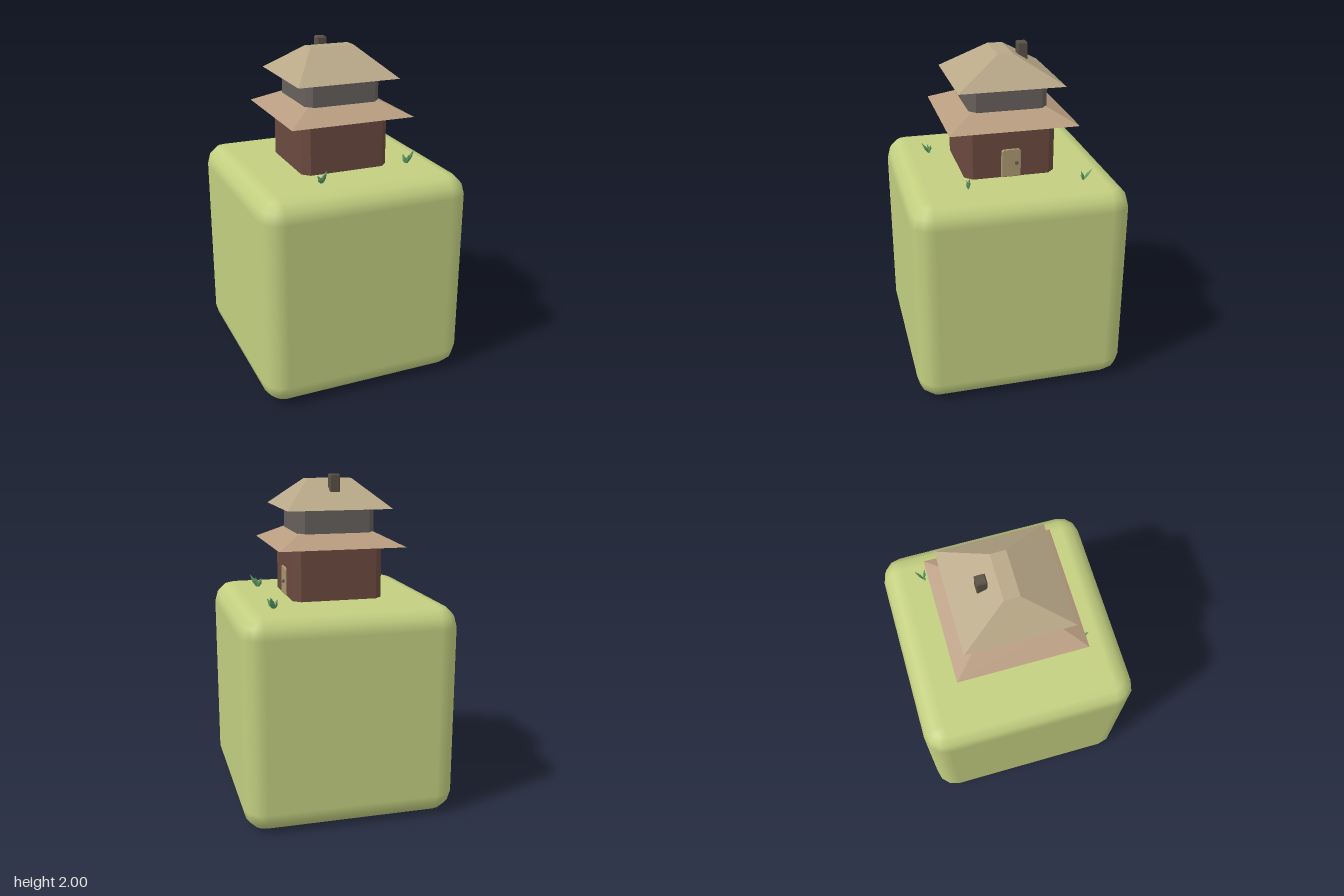
import * as THREE from 'three';
import { ConvexGeometry } from 'three/addons/geometries/ConvexGeometry.js';

const mat = (color, flatShading = true) => new THREE.MeshStandardMaterial({ color, flatShading });

function part(parent, name, geometry, material, x = 0, y = 0, z = 0) {
  const mesh = new THREE.Mesh(geometry, material);
  mesh.name = name;
  mesh.position.set(x, y, z);
  parent.add(mesh);
  return mesh;
}

// Cube with three-step rounded edges; normals follow the rounding
function roundedCube(half, r, steps) {
  const core = half - r, pts = [];
  for (const sx of [-1, 1]) for (const sy of [-1, 1]) for (const sz of [-1, 1])
    for (let i = 0; i <= steps; i++) for (let j = 0; j <= (i ? steps : 0); j++) {
      const a = i / steps * Math.PI / 2, b = j / steps * Math.PI / 2;
      pts.push(new THREE.Vector3(
        sx * (core + r * Math.sin(a) * Math.cos(b)),
        sy * (core + r * Math.cos(a)),
        sz * (core + r * Math.sin(a) * Math.sin(b))));
    }
  const geo = new ConvexGeometry(pts);
  const pos = geo.attributes.position, v = new THREE.Vector3(), c = new THREE.Vector3();
  for (let i = 0; i < pos.count; i++) {
    v.fromBufferAttribute(pos, i);
    c.copy(v).clampScalar(-core, core);
    v.sub(c).normalize();
    geo.attributes.normal.setXYZ(i, v.x, v.y, v.z);
  }
  return geo;
}

// Upright prism with a rectangular, corner-cut plan; base at y = 0
function chamferedPrism(w, d, h, cut) {
  const x = w / 2, z = d / 2;
  const shape = new THREE.Shape([
    [x - cut, -z], [x, -z + cut], [x, z - cut], [x - cut, z],
    [-x + cut, z], [-x, z - cut], [-x, -z + cut], [-x + cut, -z],
  ].map(p => new THREE.Vector2(...p)));
  return new THREE.ExtrudeGeometry(shape, { depth: h, bevelEnabled: false }).rotateX(-Math.PI / 2);
}

// Box whose top face is shrunk; base at y = 0
function hipRoof(half, topX, topZ, h) {
  const geo = new THREE.BoxGeometry(2, h, 2).translate(0, h / 2, 0);
  const p = geo.attributes.position;
  for (let i = 0; i < p.count; i++) {
    const top = p.getY(i) > h / 2;
    p.setX(i, p.getX(i) * (top ? topX : half));
    p.setZ(i, p.getZ(i) * (top ? topZ : half));
  }
  geo.computeVertexNormals();
  return geo;
}

// Slender four-sided blade leaning out from the tuft's base
function blade(dx, h, dz) {
  const dir = new THREE.Vector3(dx, h, dz);
  const len = dir.length();
  const profile = [[0, 0], [0.007, 0], [0.014, 0.45 * len], [0, len]].map(p => new THREE.Vector2(...p));
  const geo = new THREE.LatheGeometry(profile, 4);
  geo.scale(1, 1, 0.6);
  geo.applyQuaternion(new THREE.Quaternion().setFromUnitVectors(new THREE.Vector3(0, 1, 0), dir.normalize()));
  return geo;
}

export function createModel() {
  const model = new THREE.Group();
  model.name = 'houseOnBlock';
  const ground = 1.274;

  // Grassy block
  part(model, 'grassBlock', roundedCube(0.637, 0.128, 3), mat(0xc3cf80, false), 0, 0.637, 0);

  // House storeys and roofs
  const house = new THREE.Group();
  house.name = 'house';
  model.add(house);
  part(house, 'lowerWalls', chamferedPrism(0.54, 0.54, 0.34, 0.043), mat(0x6b4a40), 0, 1.26, 0);
  part(house, 'lowerRoof', hipRoof(0.376, 0.225, 0.225, 0.077), mat(0xb89c80), 0, 1.588, 0);
  part(house, 'upperWalls', chamferedPrism(0.46, 0.46, 0.17, 0.036), mat(0x66605c), 0, 1.645, 0);
  part(house, 'upperRoof', hipRoof(0.311, 0.137, 0.045, 0.163), mat(0xb9a888), 0, 1.804, 0);

  // Chimney with a slightly bevelled top
  const chimney = mat(0x5a5045);
  part(house, 'chimney', chamferedPrism(0.06, 0.06, 0.14, 0.006), chimney, -0.004, 1.852, -0.131);
  part(house, 'chimneyTop', hipRoof(0.029, 0.024, 0.024, 0.008), chimney, -0.004, 1.992, -0.131);

  // Door on the left side, with a knob
  const door = new THREE.Group();
  door.name = 'door';
  house.add(door);
  const w = 0.058, h = 0.171, c = 0.013;
  const outline = new THREE.Shape([[-w, 0], [w, 0], [w, h - c], [w - c, h], [-w + c, h], [-w, h - c]]
    .map(p => new THREE.Vector2(...p)));
  const panel = new THREE.ExtrudeGeometry(outline, {
    depth: 0.02, bevelThickness: 0.004, bevelSize: 0.004, bevelOffset: -0.004, bevelSegments: 1,
  }).rotateY(Math.PI / 2);
  part(door, 'doorPanel', panel, mat(0xa8966f), 0.255, ground, 0);
  part(door, 'doorKnob', new THREE.SphereGeometry(0.011, 10, 8), mat(0x5a5045, false), 0.282, 1.36, -0.031);

  // Grass tufts: base position, then blade lean and height
  const green = mat(0x5f9c66);
  const tufts = [
    [0.415, -0.395, [[0.027, 0.078, -0.046], [0.036, 0.06, 0.018], [-0.022, 0.05, 0.008]]],
    [0.388, 0.278, [[0.05, 0.082, 0.002], [-0.022, 0.06, -0.012], [0.012, 0.06, 0.012]]],
    [-0.215, 0.405, [[0.036, 0.07, -0.01], [0.005, 0.072, 0.046], [-0.026, 0.05, 0.005]]],
  ];
  for (const [x, z, blades] of tufts) {
    const tuft = new THREE.Group();
    tuft.name = 'grassTuft';
    tuft.position.set(x, ground - 0.002, z);
    model.add(tuft);
    for (const b of blades) part(tuft, 'grassBlade', blade(...b), green);
  }
  return model;
}
